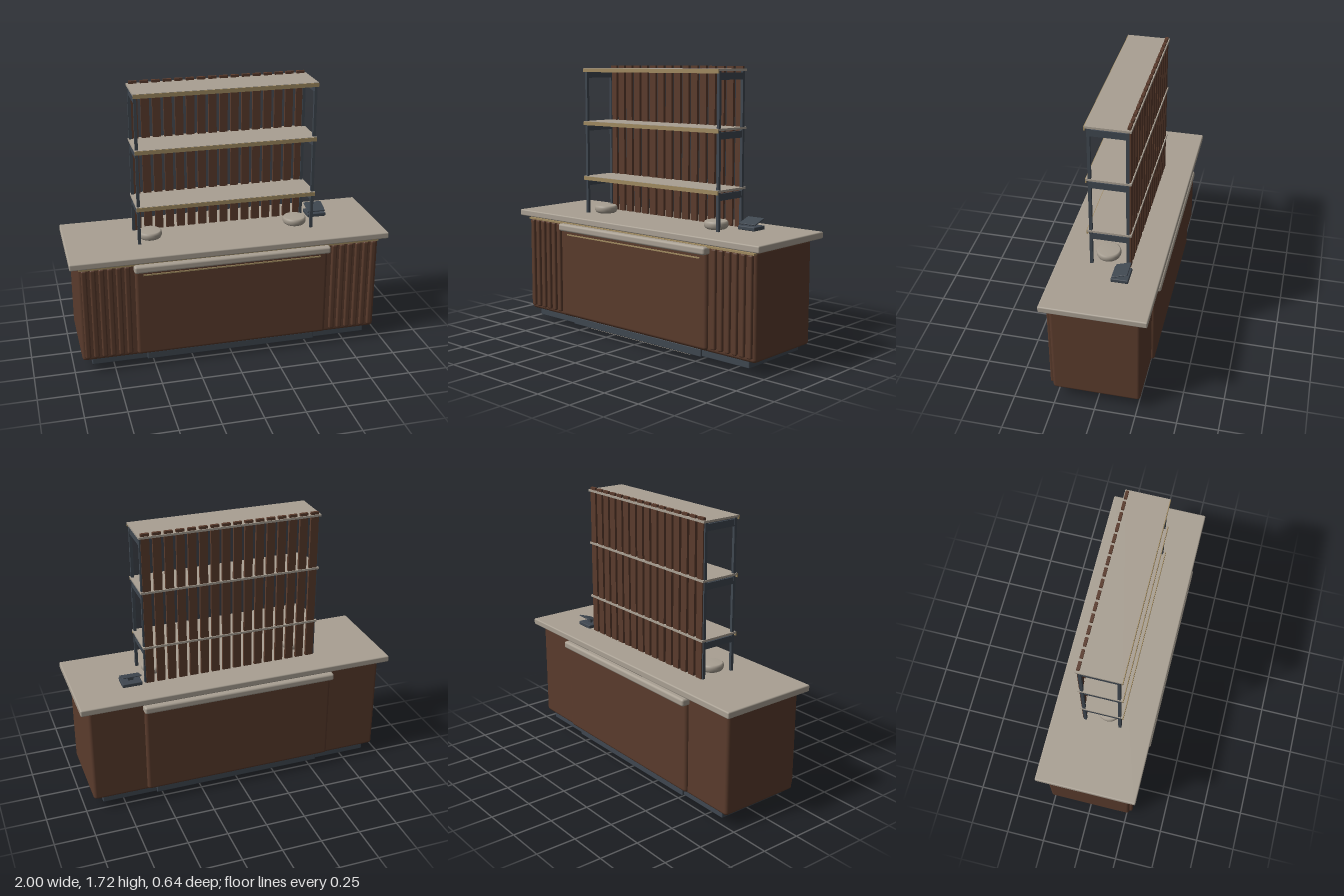
import * as THREE from 'three';
import { RoundedBoxGeometry } from 'three/addons/geometries/RoundedBoxGeometry.js';

const mat = (name, color) => {
  const m = new THREE.MeshStandardMaterial({ color });
  m.name = name;
  return m;
};

export function createModel() {
  const model = new THREE.Group();
  model.name = 'serviceCounter';
  const wood = mat('walnut', 0x5a3b2c);
  const stone = mat('stone', 0xa9a093);
  const slate = mat('slate', 0x3f4750);
  const brass = mat('brass', 0xa08a60);

  const add = (name, geo, material, x, y, z, parent = model) => {
    const m = new THREE.Mesh(geo, material);
    m.name = name;
    m.position.set(x, y, z);
    parent.add(m);
    return m;
  };
  // Box given by its limits; r > 0 rounds the edges
  const box = (name, material, [x0, x1], [y0, y1], [z0, z1], r = 0, parent = model) => {
    const s = [x1 - x0, y1 - y0, z1 - z0];
    const geo = r ? new RoundedBoxGeometry(...s, 3, r) : new THREE.BoxGeometry(...s);
    return add(name, geo, material, (x0 + x1) / 2, (y0 + y1) / 2, (z0 + z1) / 2, parent);
  };

  // Base: foot rail, floor plate and stepped plinth
  box('footRail', slate, [-0.635, 0.635], [0.004, 0.036], [-0.025, 0.025], 0.008);
  box('floorPlate', stone, [-0.43, 0.43], [0.02, 0.031], [-0.212, 0.212]);
  box('baseCore', slate, [-0.4, 0.4], [0.03, 0.045], [-0.02, 0.02]);
  box('plinth', slate, [-0.89, 0.89], [0.04, 0.09], [-0.243, 0.243], 0.006);
  box('plinthCentre', slate, [-0.545, 0.545], [0.038, 0.088], [-0.255, 0.255], 0.006);

  // Cabinet, panels on both long faces, rail and worktop
  box('cabinet', wood, [-0.95, 0.95], [0.085, 0.722], [-0.268, 0.268], 0.02);
  box('frontAndBackPanel', wood, [-0.61, 0.61], [0.095, 0.68], [-0.288, 0.288], 0.02);
  box('panelRail', stone, [-0.617, 0.617], [0.663, 0.71], [-0.321, 0.321], 0.014);
  box('worktop', stone, [-1, 1], [0.725, 0.766], [-0.316, 0.316], 0.008);
  box('worktopTrim', brass, [-0.945, 0.945], [0.703, 0.714], [0.26, 0.286]);
  box('panelTrim', brass, [-0.56, 0.56], [0.635, 0.643], [0.28, 0.294]);

  // Fluting beside the front panel
  for (const s of [-1, 1]) {
    for (let i = 0; i < 6; i++) {
      const x = s * (0.655 + i * 0.052);
      box('flute', wood, [x - 0.017, x + 0.017], [0.11, 0.702], [0.25, 0.287], 0.01);
    }
  }

  // Shelf tower: posts, shelves, brackets and slatted back
  const tower = new THREE.Group();
  tower.name = 'shelfTower';
  model.add(tower);
  for (const x of [-0.55, 0.55]) {
    for (const z of [-0.11, 0.11]) {
      box('post', slate, [x - 0.009, x + 0.009], [0.76, 1.702], [z - 0.009, z + 0.009], 0, tower);
    }
  }
  for (const y of [1.011, 1.37, 1.712]) {
    box('shelf', stone, [-0.563, 0.563], [y - 0.013, y], [-0.132, 0.13], 0, tower);
    box('shelfTrim', brass, [-0.563, 0.563], [y - 0.026, y - 0.002], [0.126, 0.134], 0, tower);
    for (const x of [-0.55, 0.55]) {
      box('bracket', slate, [x - 0.006, x + 0.006], [y - 0.063, y - 0.022], [-0.102, 0.102], 0, tower);
    }
  }
  for (let i = 0; i < 16; i++) {
    const x = -0.525 + i * 0.07;
    box('slat', wood, [x - 0.025, x + 0.025], [0.76, 1.728], [-0.126, -0.108], 0, tower);
  }

  // Round dishes
  const profile = [[0, 0], [0.055, 0], [0.066, 0.006], [0.073, 0.018], [0.074, 0.034], [0.071, 0.045], [0.064, 0.05], [0, 0.05]];
  const dish = new THREE.LatheGeometry(profile.map(p => new THREE.Vector2(...p)), 40);
  for (const x of [-0.47, 0.467]) add('dish', dish, stone, x, 0.766, 0.025);

  // Payment terminal with tilted screen
  box('terminalBase', slate, [0.58, 0.703], [0.766, 0.79], [-0.142, -0.038], 0.005);
  box('terminalStem', slate, [0.625, 0.658], [0.785, 0.812], [-0.1, -0.084]);
  const screen = box('terminalScreen', slate, [0.582, 0.701], [0.812, 0.82], [-0.141, -0.045], 0.003);
  screen.rotation.x = 0.33;

  return model;
}
